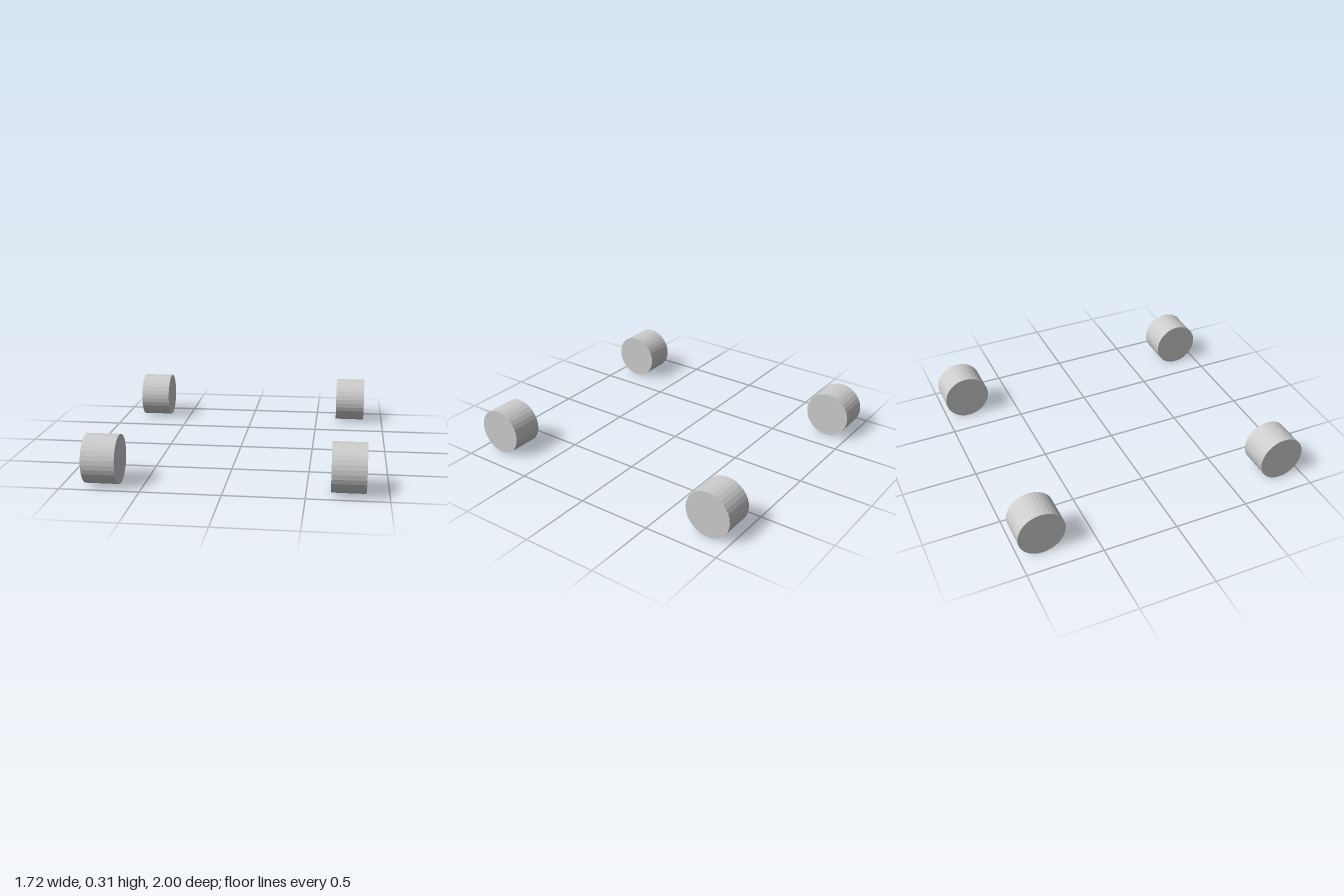
import * as THREE from 'three';

const RADIUS = 0.155;
const WIDTH = 0.21;

export function createModel() {
  const model = new THREE.Group();
  model.name = 'wheelSet';

  const grey = new THREE.MeshStandardMaterial({ color: 0xcccccc, flatShading: true });
  grey.name = 'light grey';

  // One solid wheel, its axle along x
  const wheel = new THREE.CylinderGeometry(RADIUS, RADIUS, WIDTH, 32);
  wheel.rotateZ(Math.PI / 2);

  // Four wheels, one at each corner
  for (const [end, z] of [['front', 1], ['back', -1]]) {
    for (const [side, x] of [['Left', 1], ['Right', -1]]) {
      const mesh = new THREE.Mesh(wheel, grey);
      mesh.name = `${end}${side}Wheel`;
      mesh.position.set(x * 0.755, RADIUS, z * (1 - RADIUS));
      model.add(mesh);
    }
  }
  return model;
}
